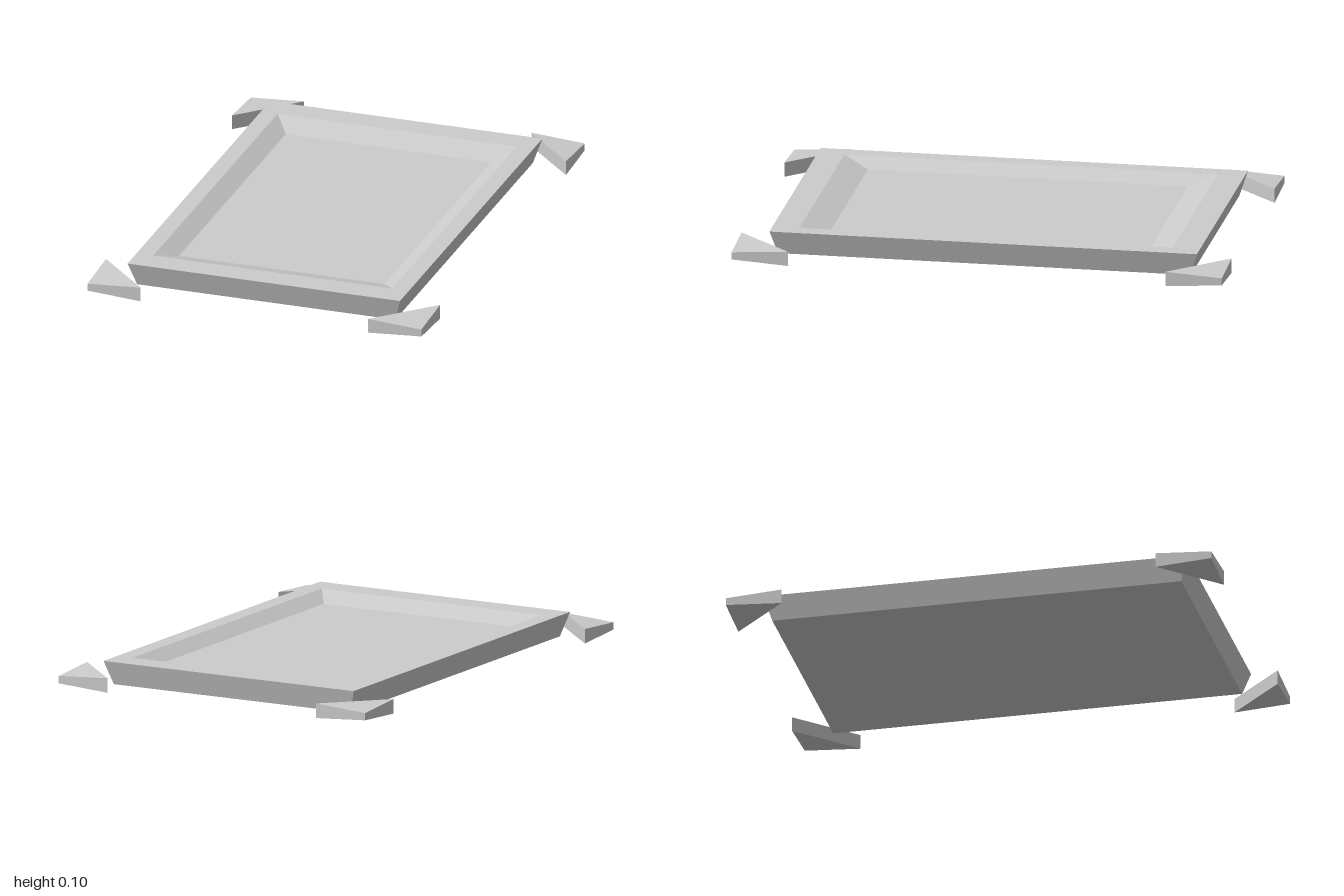
import * as THREE from 'three';

const material = new THREE.MeshStandardMaterial({ color: 0xcccccc, flatShading: true });

// Closed faceted solid through rings of points, each counter-clockwise from above
function loft(rings) {
  const n = rings[0].length;
  const index = [];
  for (let r = 0; r < rings.length - 1; r++) {
    for (let i = 0; i < n; i++) {
      const j = (i + 1) % n;
      const a = r * n + i, b = r * n + j;
      index.push(a, b, b + n, a, b + n, a + n);
    }
  }
  const last = (rings.length - 1) * n;
  for (let i = 1; i < n - 1; i++) {
    index.push(0, i + 1, i);
    index.push(last, last + i, last + i + 1);
  }
  const indexed = new THREE.BufferGeometry();
  indexed.setAttribute('position', new THREE.Float32BufferAttribute(rings.flat(2), 3));
  indexed.setIndex(index);
  const geometry = indexed.toNonIndexed();
  geometry.computeVertexNormals();
  return geometry;
}

function part(name, geometry) {
  const mesh = new THREE.Mesh(geometry, material);
  mesh.name = name;
  return mesh;
}

const rectangle = (hx, hz, y) => [[hx, y, hz], [hx, y, -hz], [-hx, y, -hz], [-hx, y, hz]];

// Triangular wedge, thinnest at its outer corner
function cornerWedge(sx, sz) {
  const ring = (cornerY, tipY) => {
    const points = [
      [sx * 0.71, cornerY, sz],
      [sx * 0.71, tipY, sz * 0.77],
      [sx * 0.483, tipY, sz],
    ];
    return sx * sz > 0 ? points : points.reverse();
  };
  return loft([ring(0.015, 0), ring(0.045, 0.06)]);
}

export function createModel() {
  const model = new THREE.Group();
  model.name = 'recessedTray';

  // Slab with flared sides, flat rim and a shallow sloped recess
  const slab = part('slab', loft([
    rectangle(0.549, 0.842, 0),
    rectangle(0.579, 0.872, 0.098),
    rectangle(0.508, 0.762, 0.098),
    rectangle(0.436, 0.653, 0.063),
  ]));
  slab.position.set(-0.005, 0, -0.002);
  model.add(slab);

  // Four detached corner pieces
  for (const sx of [-1, 1]) {
    for (const sz of [-1, 1]) {
      const name = (sz > 0 ? 'front' : 'back') + (sx > 0 ? 'Left' : 'Right') + 'Corner';
      model.add(part(name, cornerWedge(sx, sz)));
    }
  }
  return model;
}
